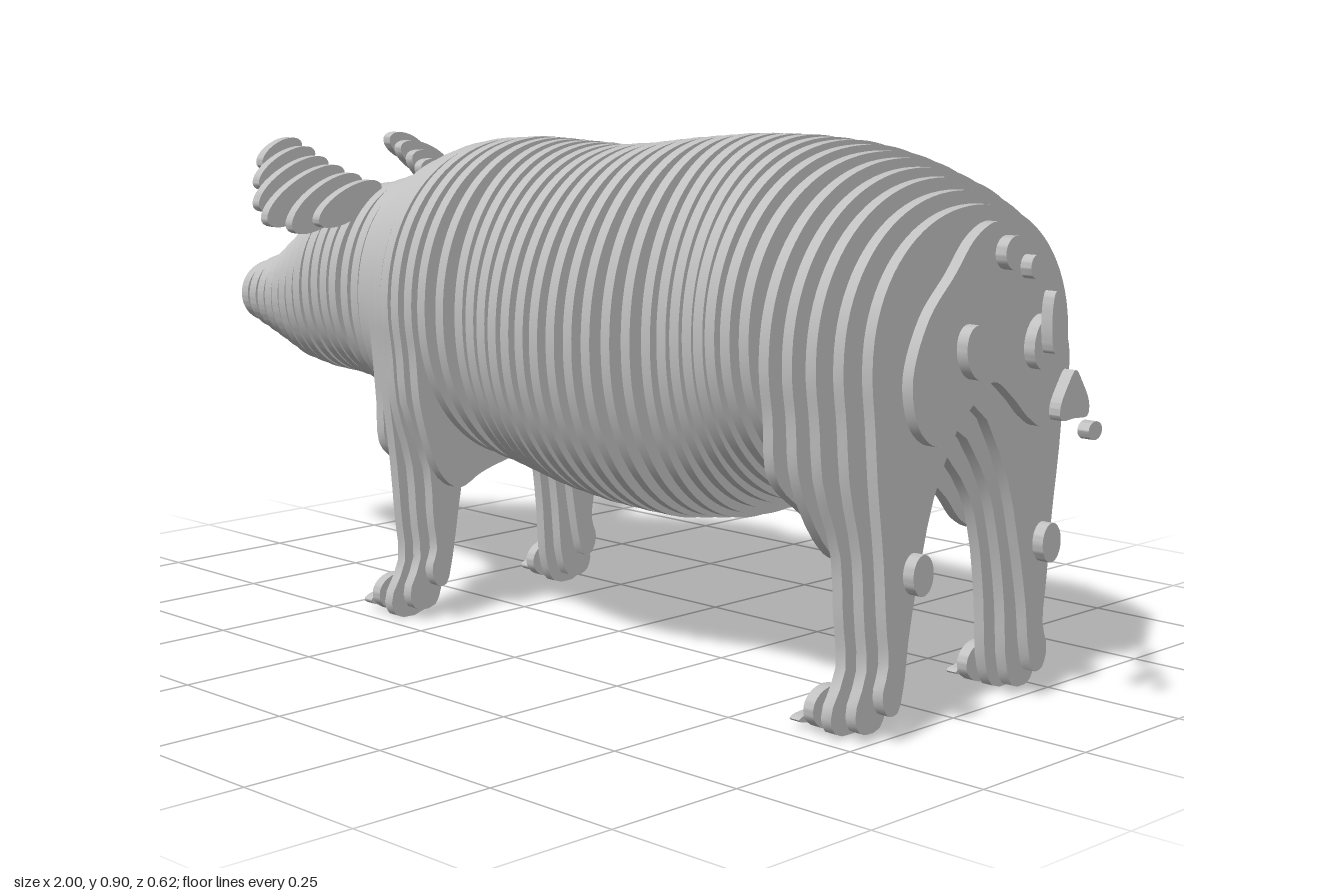
import * as THREE from 'three';
import { toCreasedNormals } from 'three/addons/utils/BufferGeometryUtils.js';

const COUNT = 54, THICK = 0.02, PITCH = (2 - THICK) / (COUNT - 1);
const sliceX = (i) => -1 + THICK / 2 + PITCH * i;

// Trunk profile from snout to rump: x, underside, back, half width
const PROFILE = [
  [-1, 0.465, 0.585, 0.078], [-0.9, 0.435, 0.62, 0.1], [-0.8, 0.403, 0.685, 0.13],
  [-0.73, 0.395, 0.73, 0.15], [-0.65, 0.393, 0.76, 0.165], [-0.58, 0.387, 0.77, 0.18],
  [-0.52, 0.365, 0.785, 0.182], [-0.45, 0.34, 0.805, 0.205], [-0.38, 0.33, 0.838, 0.245],
  [-0.3, 0.315, 0.862, 0.275], [-0.2, 0.29, 0.87, 0.278], [-0.13, 0.275, 0.868, 0.257],
  [0, 0.255, 0.864, 0.285], [0.1, 0.245, 0.872, 0.29], [0.2, 0.241, 0.885, 0.28],
  [0.33, 0.26, 0.898, 0.25], [0.42, 0.295, 0.9, 0.272], [0.5, 0.32, 0.895, 0.302],
  [0.55, 0.332, 0.887, 0.31], [0.62, 0.345, 0.87, 0.303], [0.7, 0.4, 0.842, 0.28],
  [0.77, 0.45, 0.806, 0.24], [0.81, 0.46, 0.78, 0.195],
];

// Slices that reach into the legs: index -> [lowest point, crotch height, taper]
const LEGS = {
  16: [0.28, 0.335], 17: [0.004, 0.33, 0], 18: [0.022, 0.325, 0.005],
  19: [0.068, 0.31, 0.013], 20: [0.25, 0.295],
  43: [0.31, 0.345], 44: [0.265, 0.38], 45: [0.008, 0.42, 0],
  46: [0.015, 0.46, 0.005], 47: [0.047, 0.5, 0.012],
};

// Paired oval pieces: name, slice, z, y, half length, half height, tilt
const PAIRED = [
  ['ear', 6, 0.155, 0.82, 0.05, 0.024, -0.4],
  ['ear', 7, 0.172, 0.795, 0.072, 0.029, -0.42],
  ['ear', 8, 0.185, 0.768, 0.09, 0.034, -0.45],
  ['ear', 9, 0.185, 0.748, 0.1, 0.037, -0.45],
  ['ear', 10, 0.165, 0.735, 0.092, 0.037, -0.48],
  ['ear', 11, 0.14, 0.735, 0.08, 0.03, -0.4],
  ['frontToe', 15, 0.195, 0.019, 0.03, 0.011, 0],
  ['frontFoot', 16, 0.19, 0.038, 0.046, 0.034, 0],
  ['hindToe', 43, 0.195, 0.015, 0.03, 0.007, 0],
  ['hindFoot', 44, 0.19, 0.038, 0.046, 0.034, 0],
  ['hock', 48, 0.161, 0.265, 0.024, 0.032, 0],
  ['buttock', 49, 0.083, 0.597, 0.031, 0.043, -0.3],
];

// Half outlines (z, y) of the rearmost trunk slice and one tail piece
const RUMP = [[0, 0.785], [0.05, 0.765], [0.1, 0.712], [0.16, 0.65], [0.195, 0.56],
  [0.175, 0.485], [0.13, 0.456], [0.09, 0.475], [0.05, 0.51], [0, 0.54]];
const TAIL_FAN = [[0, 0.575], [0.018, 0.555], [0.036, 0.522], [0.033, 0.504], [0, 0.503]];

function sample(x) {
  let k = 0;
  while (k < PROFILE.length - 2 && PROFILE[k + 1][0] < x) k++;
  const a = PROFILE[k], b = PROFILE[k + 1], t = (x - a[0]) / (b[0] - a[0]);
  return [1, 2, 3].map((j) => THREE.MathUtils.lerp(a[j], b[j], t));
}

// Half of a rounded section, from the top centre down to angle `end`
function arc(top, bottom, cy, w, end, steps) {
  const power = 2 / 2.1, pts = [];
  for (let k = 0; k <= steps; k++) {
    const a = Math.PI / 2 + (end - Math.PI / 2) * k / steps;
    const s = Math.sin(a), h = s > 0 ? top - cy : cy - bottom;
    pts.push([w * Math.pow(Math.max(0, Math.cos(a)), power),
      cy + h * Math.sign(s) * Math.pow(Math.abs(s), power)]);
  }
  pts[0][0] = 0;
  return pts;
}

function trunkHalf(i) {
  const [bottom, top, w] = sample(sliceX(i));
  if (!LEGS[i]) {
    const pts = arc(top, bottom, (top + bottom) / 2, w, -Math.PI / 2, 16);
    pts[16][0] = 0;
    return pts;
  }
  const [low, crotch, d] = LEGS[i];
  const pts = arc(top, 0.28, 0.58, w, -0.26, 9);
  if (d === undefined) { // shoulder or thigh bulge only
    pts.push([w * 0.93, 0.4], [0.213, low + 0.03], [0.17, low], [0.12, low + 0.02],
      [0.075, (crotch + low + 0.02) / 2], [0, crotch]);
  } else { // full leg with a flared hoof
    pts.push([w * 0.93, 0.4], [0.222 - d, 0.29], [0.213 - d, 0.19], [0.206 - d, 0.1 + low / 2],
      [0.238 - 2.6 * d, low + 0.03], [0.225 - 2.6 * d, low], [0.165 + d / 2, low],
      [0.145 + d, low + 0.04], [0.135 + d, 0.16], [0.116 + d / 2, 0.27],
      [0.085, (crotch + 0.27) / 2], [0, crotch]);
  }
  return pts;
}

// Mirrors a half outline and smooths it into a closed shape
function mirroredShape(half) {
  const other = half.slice(1, -1).reverse().map(([z, y]) => [-z, y]);
  const pts = [...half, ...other].map(([z, y]) => new THREE.Vector3(z, y, 0));
  const curve = new THREE.CatmullRomCurve3(pts, true, 'centripetal');
  return new THREE.Shape(curve.getPoints(110).slice(0, -1).map((p) => new THREE.Vector2(p.x, p.y)));
}

function ovalShape(z, y, a, b, tilt) {
  const curve = new THREE.EllipseCurve(z, y, a, b, 0, Math.PI * 2, false, tilt);
  return new THREE.Shape(curve.getPoints(36).slice(0, -1));
}

export function createModel() {
  const model = new THREE.Group();
  model.name = 'slicedPig';
  const grey = new THREE.MeshStandardMaterial({ color: 0xc0c0c0 });
  grey.name = 'grey';

  const groups = {};
  function addSlice(name, i, shape) {
    const geo = new THREE.ExtrudeGeometry(shape, { depth: THICK, bevelEnabled: false });
    geo.translate(0, 0, -THICK / 2).rotateY(Math.PI / 2).translate(sliceX(i), 0, 0);
    const mesh = new THREE.Mesh(toCreasedNormals(geo, 0.6), grey);
    mesh.name = name + 'Slice';
    if (!groups[name]) {
      groups[name] = new THREE.Group();
      groups[name].name = name;
      model.add(groups[name]);
    }
    groups[name].add(mesh);
  }

  // Head, trunk and legs
  for (let i = 0; i < 48; i++) addSlice(i < 13 ? 'head' : 'body', i, mirroredShape(trunkHalf(i)));
  addSlice('body', 48, mirroredShape(RUMP));

  // Ears, feet, hocks and buttocks on both sides
  for (const [name, i, z, y, a, b, tilt] of PAIRED) {
    for (const s of [1, -1]) addSlice(name, i, ovalShape(s * z, y, a, b, s * tilt));
  }

  // Tail
  addSlice('tail', 49, ovalShape(0, 0.74, 0.026, 0.026, 0));
  addSlice('tail', 50, ovalShape(0, 0.722, 0.014, 0.018, 0));
  addSlice('tail', 51, ovalShape(0, 0.642, 0.01, 0.047, 0));
  addSlice('tail', 52, mirroredShape(TAIL_FAN));
  addSlice('tail', 53, ovalShape(0, 0.489, 0.017, 0.014, 0));
  return model;
}
